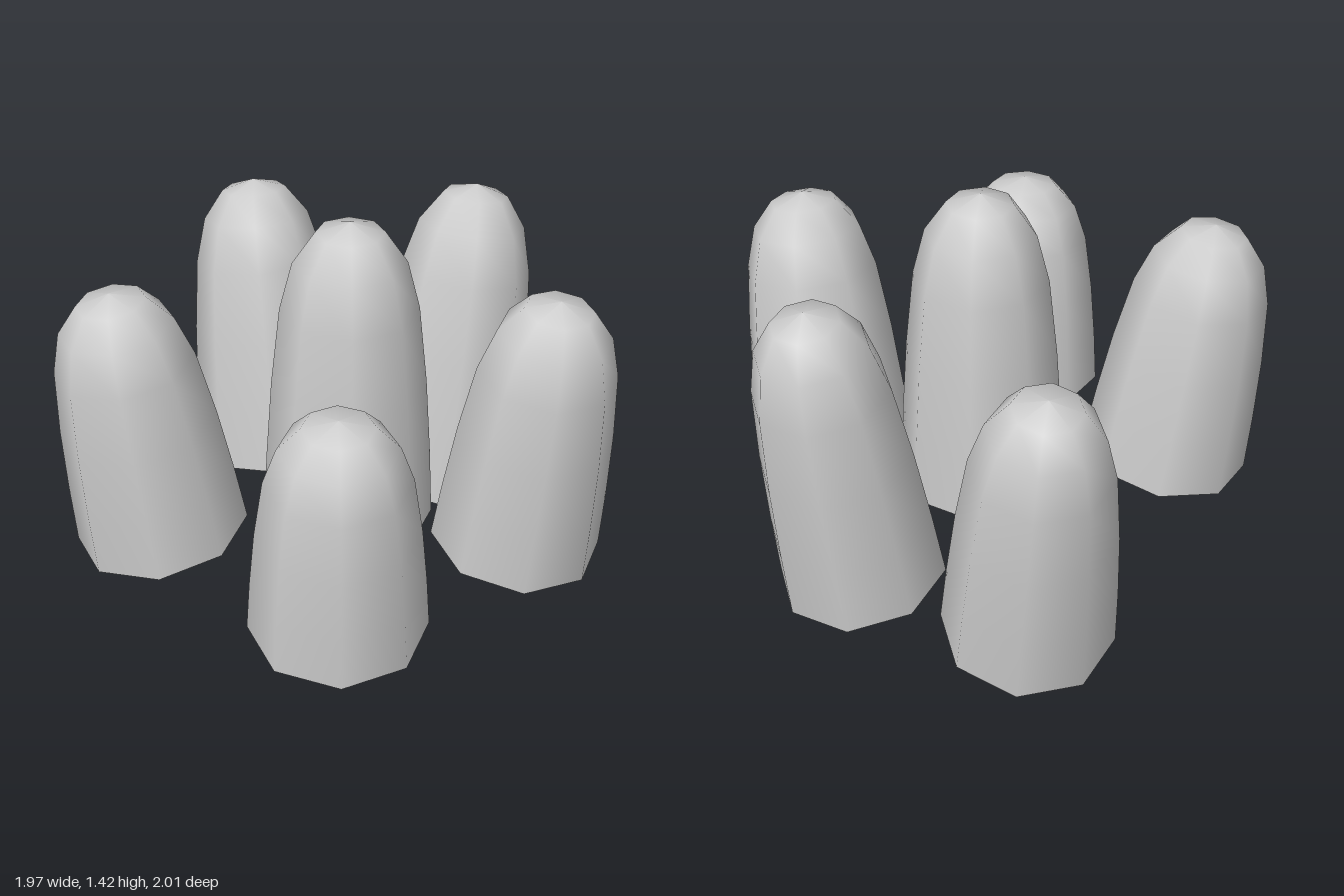
import * as THREE from 'three';

// Half profile of one rounded pillar: [radius, fraction of its length]
const PROFILE = [[0.322, 0], [0.309, 0.22], [0.288, 0.47], [0.255, 0.72], [0.208, 0.87], [0.126, 0.967], [0, 1]];
const SIDES = 8;

// Base centre and apex of each pillar
const PILLARS = [
  ['centrePillar', [-0.037, 0.195, 0.088], [-0.037, 1.43, 0.095]],
  ['leftPillar', [0.588, 0.055, 0.012], [0.78, 1.28, 0.01]],
  ['frontLeftPillar', [0.288, 0.178, 0.65], [0.285, 1.24, 0.795]],
  ['frontRightPillar', [-0.583, 0.198, 0.545], [-0.64, 1.09, 0.6]],
  ['backRightPillar', [-0.645, 0.25, -0.298], [-0.77, 1.26, -0.37]],
  ['backLeftPillar', [0.293, 0.057, -0.625], [0.36, 1.19, -0.8]],
];

function makePillar(name, base, apex, material) {
  const start = new THREE.Vector3(...base);
  const axis = new THREE.Vector3(...apex).sub(start);
  const length = axis.length();
  const pillar = new THREE.Group();
  pillar.name = name;

  // Smooth domed side
  const points = PROFILE.map(([r, t]) => new THREE.Vector2(r, t * length));
  const dome = new THREE.Mesh(new THREE.LatheGeometry(points, SIDES), material);
  dome.name = 'dome';

  // Flat underside
  const underside = new THREE.Mesh(new THREE.CircleGeometry(PROFILE[0][0], SIDES), material);
  underside.name = 'underside';
  underside.rotation.x = Math.PI / 2;

  pillar.add(dome, underside);

  // Lean the pillar along its axis
  pillar.position.copy(start);
  pillar.quaternion.setFromUnitVectors(new THREE.Vector3(0, 1, 0), axis.normalize());
  return pillar;
}

export function createModel() {
  const model = new THREE.Group();
  model.name = 'pillarCluster';
  const material = new THREE.MeshStandardMaterial({ color: 0xcccccc });
  for (const [name, base, apex] of PILLARS) model.add(makePillar(name, base, apex, material));
  return model;
}
